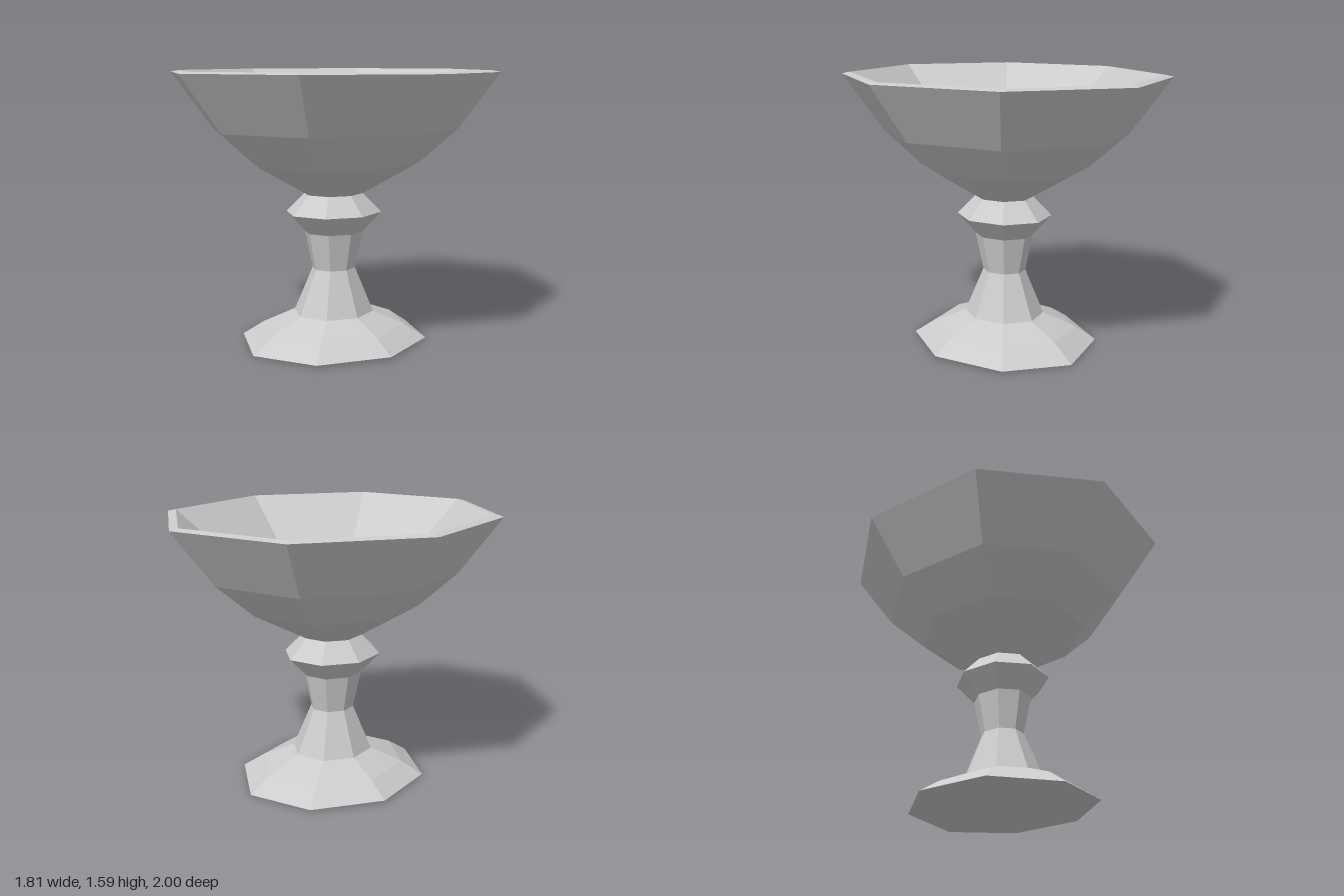
import * as THREE from 'three';

const SIDES = 8;
const X_SQUASH = 0.905; // the cup is slightly narrower across x

export function createModel() {
  const group = new THREE.Group();
  group.name = 'goblet';
  const material = new THREE.MeshStandardMaterial({
    color: 0xcccccc, flatShading: true, side: THREE.DoubleSide,
  });

  // Faceted eight-sided ring section from [radius, height] pairs
  function addTurned(name, profile, reshape) {
    const points = profile.map(([r, y]) => new THREE.Vector2(r, y));
    let geometry = new THREE.LatheGeometry(points, SIDES);
    geometry.scale(X_SQUASH, 1, 1);
    if (reshape) reshape(geometry.attributes.position);
    geometry = geometry.toNonIndexed();
    geometry.computeVertexNormals();
    const mesh = new THREE.Mesh(geometry, material);
    mesh.name = name;
    group.add(mesh);
  }

  // Spreading foot; its underside lifts slightly towards the left and right
  addTurned('foot', [[0, 0], [0.577, 0], [0.443, 0.09], [0.247, 0.168]], (pos) => {
    for (let i = 0; i < pos.count; i++) {
      if (pos.getY(i) < 0.01) pos.setY(i, 0.025 * Math.abs(pos.getX(i)));
    }
  });

  // Waisted stem
  addTurned('stem', [[0.247, 0.168], [0.132, 0.433], [0.18, 0.653]]);

  // Knob under the bowl
  addTurned('knob', [[0.18, 0.653], [0.293, 0.77], [0.18, 0.88]]);

  // Bowl: outer wall, bevelled rim, straight inner wall and small floor
  addTurned('bowl', [
    [0.18, 0.88], [0.522, 1.066], [0.753, 1.263], [1, 1.583],
    [0.95, 1.593], [0.16, 0.92], [0, 0.92],
  ]);

  return group;
}
